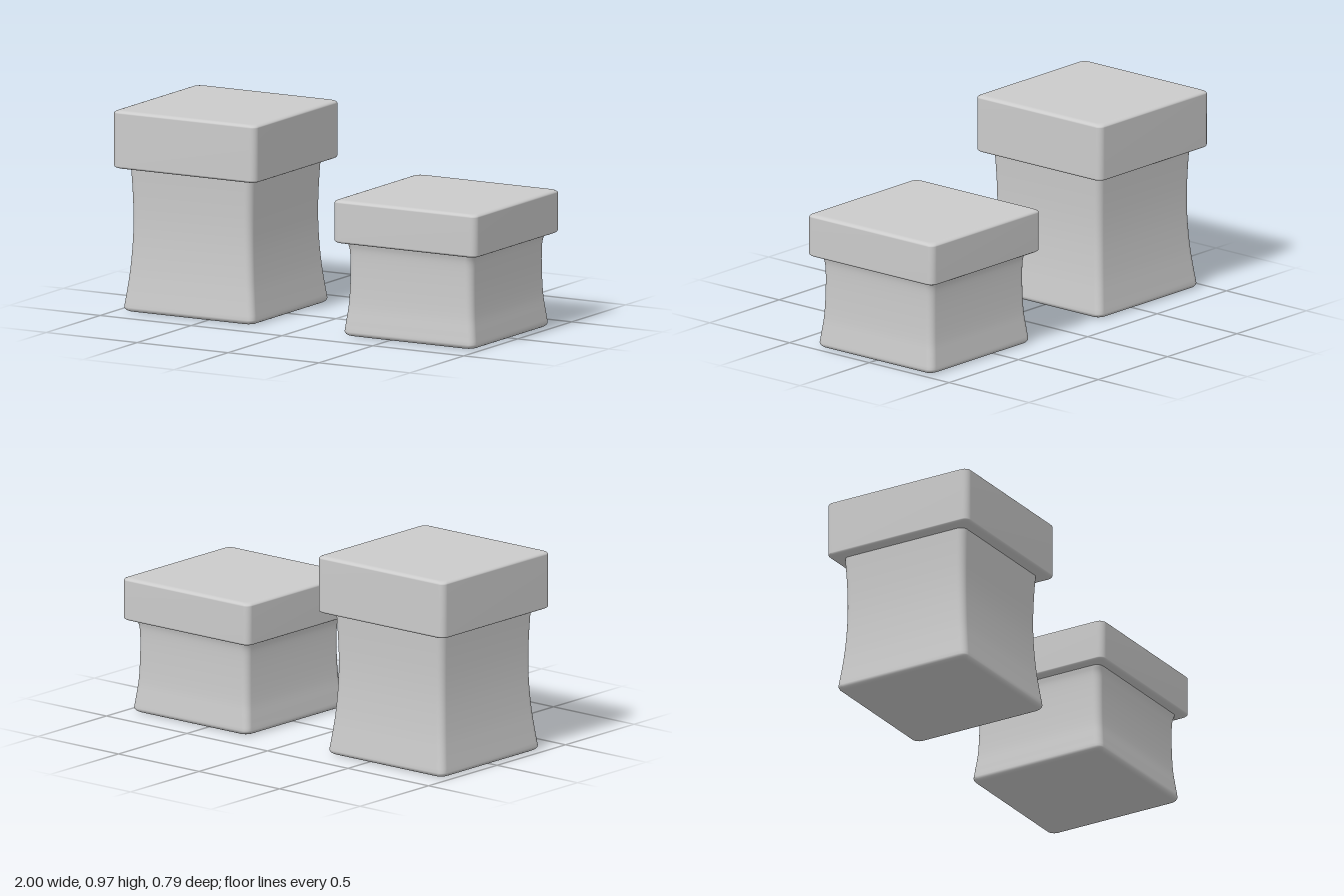
import * as THREE from 'three';

const material = new THREE.MeshStandardMaterial({ color: 0xcccccc });
const CORNER_STEPS = 6;

// Outline of a rounded square, counter-clockwise seen from below (x towards z)
function roundedSquare(half, radius) {
  const points = [];
  const r = Math.min(radius, half * 0.9);
  for (let corner = 0; corner < 4; corner++) {
    const start = corner * Math.PI / 2;
    const cx = (half - r) * Math.sign(Math.cos(start + Math.PI / 4));
    const cz = (half - r) * Math.sign(Math.sin(start + Math.PI / 4));
    for (let i = 0; i <= CORNER_STEPS; i++) {
      const a = start + (i / CORNER_STEPS) * Math.PI / 2;
      points.push([cx + r * Math.cos(a), cz + r * Math.sin(a)]);
    }
  }
  return points;
}

// Closed solid through rounded squares; profile = [half width, height, corner radius]
function loft(profile) {
  const positions = [], indices = [];
  const n = 4 * (CORNER_STEPS + 1);
  for (const [half, y, radius] of profile) {
    for (const [x, z] of roundedSquare(half, radius)) positions.push(x, y, z);
  }
  for (let ring = 0; ring < profile.length - 1; ring++) {
    for (let i = 0; i < n; i++) {
      const a = ring * n + i, b = ring * n + (i + 1) % n;
      indices.push(a, a + n, b, b, a + n, b + n);
    }
  }
  // Flat bottom and top
  const bottom = profile.length * n, top = bottom + 1, last = (profile.length - 1) * n;
  positions.push(0, profile[0][1], 0, 0, profile[profile.length - 1][1], 0);
  for (let i = 0; i < n; i++) {
    const j = (i + 1) % n;
    indices.push(bottom, i, j, top, last + j, last + i);
  }
  const geometry = new THREE.BufferGeometry();
  geometry.setAttribute('position', new THREE.Float32BufferAttribute(positions, 3));
  geometry.setIndex(indices);
  geometry.computeVertexNormals();
  return geometry;
}

// Quarter-round edge from the flat face (t = 0) to the side (t = 1)
function edge(half, faceY, inset, rise, radius) {
  const rings = [];
  for (let i = 0; i <= 5; i++) {
    const a = (i / 5) * Math.PI / 2;
    rings.push([half - inset * (1 - Math.sin(a)), faceY + rise * (1 - Math.cos(a)), radius]);
  }
  return rings;
}

// Square lid with softened edges
function lidGeometry(bottom, top) {
  const half = 0.394, radius = 0.032;
  return loft([
    ...edge(half, bottom, 0.028, 0.014, radius),
    ...edge(half, top, 0.028, -0.014, radius).reverse(),
  ]);
}

// Square vessel with a gently drawn-in waist
function bodyGeometry(waist) {
  const radius = 0.035;
  const curve = new THREE.CatmullRomCurve3(waist.map(([half, y]) => new THREE.Vector3(half, y, 0)));
  const sides = curve.getPoints(28).map((p) => [p.x, p.y, radius]);
  return loft([...edge(waist[0][0], 0, 0.025, waist[0][1], radius).slice(0, -1), ...sides]);
}

function canister(name, x, waist, lidBottom, lidTop) {
  const group = new THREE.Group();
  group.name = name;
  const body = new THREE.Mesh(bodyGeometry(waist), material);
  body.name = 'body';
  const lid = new THREE.Mesh(lidGeometry(lidBottom, lidTop), material);
  lid.name = 'lid';
  group.add(body, lid);
  group.position.x = x;
  return group;
}

export function createModel() {
  const model = new THREE.Group();
  model.name = 'canisterPair';
  const tallWaist = [[0.36, 0.022], [0.35, 0.1], [0.339, 0.2], [0.33, 0.34], [0.328, 0.46], [0.331, 0.58], [0.336, 0.68], [0.338, 0.71]];
  const shortWaist = [[0.36, 0.022], [0.353, 0.08], [0.345, 0.15], [0.34, 0.27], [0.34, 0.38], [0.343, 0.42], [0.35, 0.45], [0.352, 0.47]];
  model.add(
    canister('tallCanister', -0.606, tallWaist, 0.69, 0.97),
    canister('shortCanister', 0.606, shortWaist, 0.448, 0.657),
  );
  return model;
}
